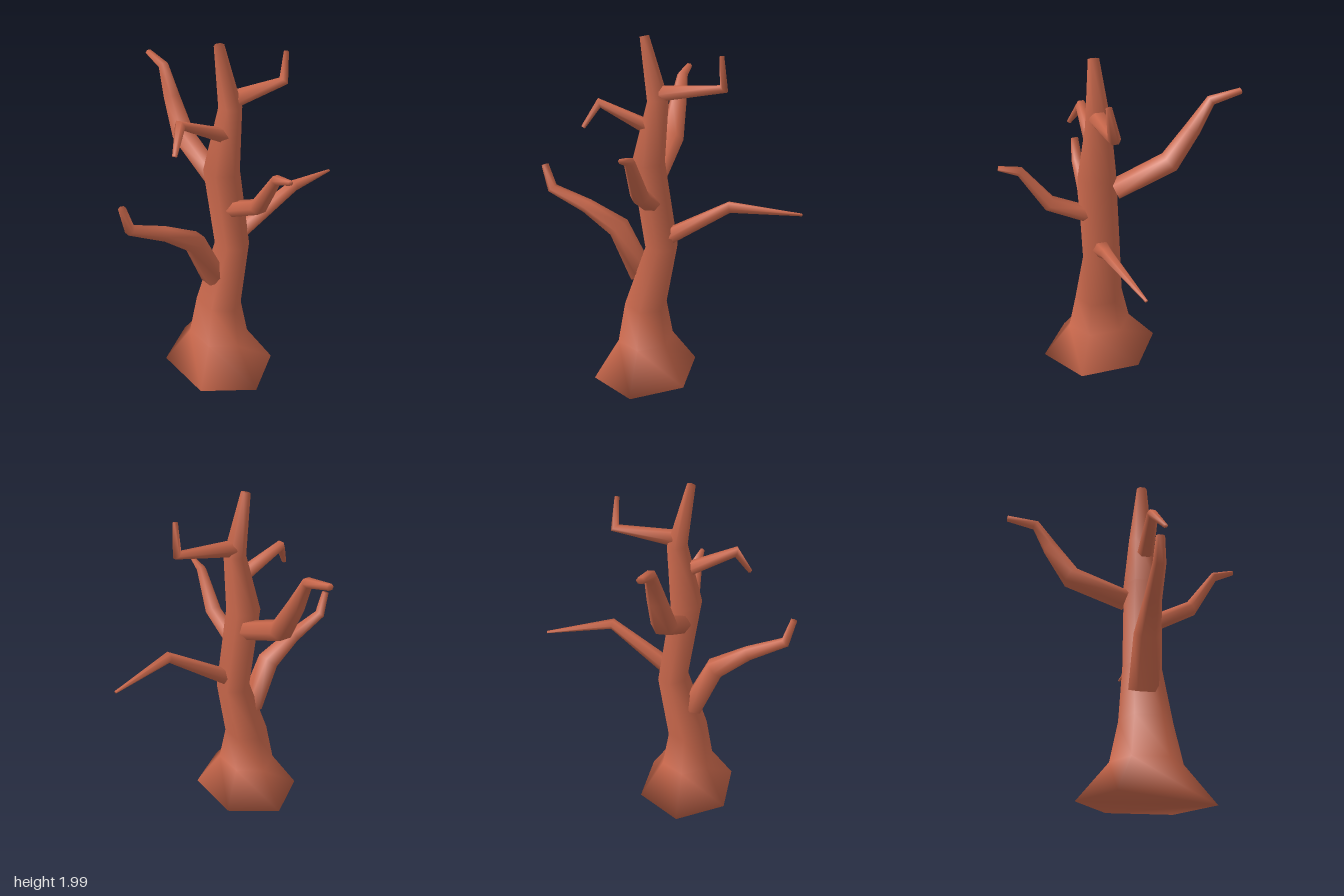
import * as THREE from 'three';

const SIDES = 6;
const SQUASH = 0.83; // limbs are slightly flattened hexagons
const bark = new THREE.MeshStandardMaterial({ color: 0xc8674b });

// Tapered hexagonal limb through points [x, y, z, radius]; corners point along the side axis
function limb(name, points, sideAxis) {
  const centres = points.map(([x, y, z]) => new THREE.Vector3(x, y, z));
  const last = centres.length - 1;
  const step = (i) => centres[i + 1].clone().sub(centres[i]).normalize();
  const positions = [];
  const index = [];

  centres.forEach((centre, i) => {
    const tangent = new THREE.Vector3();
    if (i > 0) tangent.add(step(i - 1));
    if (i < last) tangent.add(step(i));
    tangent.normalize();
    const side = sideAxis.clone().addScaledVector(tangent, -sideAxis.dot(tangent)).normalize();
    const up = tangent.clone().cross(side);
    const r = points[i][3];
    for (let j = 0; j < SIDES; j++) {
      const a = (j / SIDES) * Math.PI * 2;
      const p = centre.clone()
        .addScaledVector(side, r * Math.cos(a))
        .addScaledVector(up, r * SQUASH * Math.sin(a));
      positions.push(p.x, p.y, p.z);
    }
  });

  // Walls between neighbouring rings
  for (let i = 0; i < last; i++) {
    for (let j = 0; j < SIDES; j++) {
      const a = i * SIDES + j;
      const b = i * SIDES + (j + 1) % SIDES;
      index.push(a, b, a + SIDES, b, b + SIDES, a + SIDES);
    }
  }
  // End caps, sharing vertices so the shading stays soft
  const end = last * SIDES;
  for (let j = 1; j < SIDES - 1; j++) {
    index.push(0, j + 1, j, end, end + j, end + j + 1);
  }

  const geometry = new THREE.BufferGeometry();
  geometry.setAttribute('position', new THREE.Float32BufferAttribute(positions, 3));
  geometry.setIndex(index);
  geometry.computeVertexNormals();
  const mesh = new THREE.Mesh(geometry, bark);
  mesh.name = name;
  return mesh;
}

export function createModel() {
  const tree = new THREE.Group();
  tree.name = 'bareTree';
  const X = new THREE.Vector3(1, 0, 0);
  const Z = new THREE.Vector3(0, 0, 1);

  // Crooked trunk with a flared foot
  tree.add(limb('trunk', [
    [-0.14, 0, 0.135, 0.375],
    [-0.14, 0.21, 0.135, 0.2],
    [-0.137, 0.435, 0.135, 0.152],
    [-0.04, 0.8, 0.135, 0.115],
    [-0.115, 1.29, 0.135, 0.115],
    [-0.057, 1.64, 0.135, 0.073],
    [-0.13, 1.985, 0.135, 0.031],
  ], Z));

  // Side branches
  tree.add(limb('lowerLeftBranch', [
    [-0.01, 0.855, 0.14, 0.06],
    [0.36, 1.08, 0.207, 0.038],
    [0.75, 1.03, 0.105, 0.009],
  ], Z));
  tree.add(limb('lowerRightBranch', [
    [-0.165, 0.61, 0.12, 0.085],
    [-0.298, 0.89, 0.125, 0.077],
    [-0.49, 1.01, 0.125, 0.05],
    [-0.7, 1.105, 0.125, 0.036],
    [-0.738, 1.245, 0.127, 0.024],
  ], Z));
  tree.add(limb('upperRightBranch', [
    [-0.1, 1.49, 0.15, 0.052],
    [-0.388, 1.62, 0.153, 0.036],
    [-0.466, 1.49, 0.212, 0.015],
  ], Z));
  tree.add(limb('upperLeftBranch', [
    [-0.04, 1.68, 0.137, 0.056],
    [0.307, 1.715, 0.143, 0.034],
    [0.296, 1.887, 0.167, 0.016],
  ], Z));

  // Front and back branches
  tree.add(limb('frontBranch', [
    [-0.085, 1.04, 0.13, 0.056],
    [-0.085, 1.08, 0.23, 0.056],
    [-0.088, 1.175, 0.425, 0.054],
    [-0.1, 1.395, 0.575, 0.032],
    [-0.11, 1.425, 0.69, 0.016],
  ], X));
  tree.add(limb('backBranch', [
    [-0.093, 1.2, 0.035, 0.07],
    [-0.075, 1.342, -0.29, 0.075],
    [-0.065, 1.54, -0.42, 0.055],
    [-0.055, 1.705, -0.515, 0.034],
    [-0.048, 1.745, -0.69, 0.021],
  ], X));

  return tree;
}
